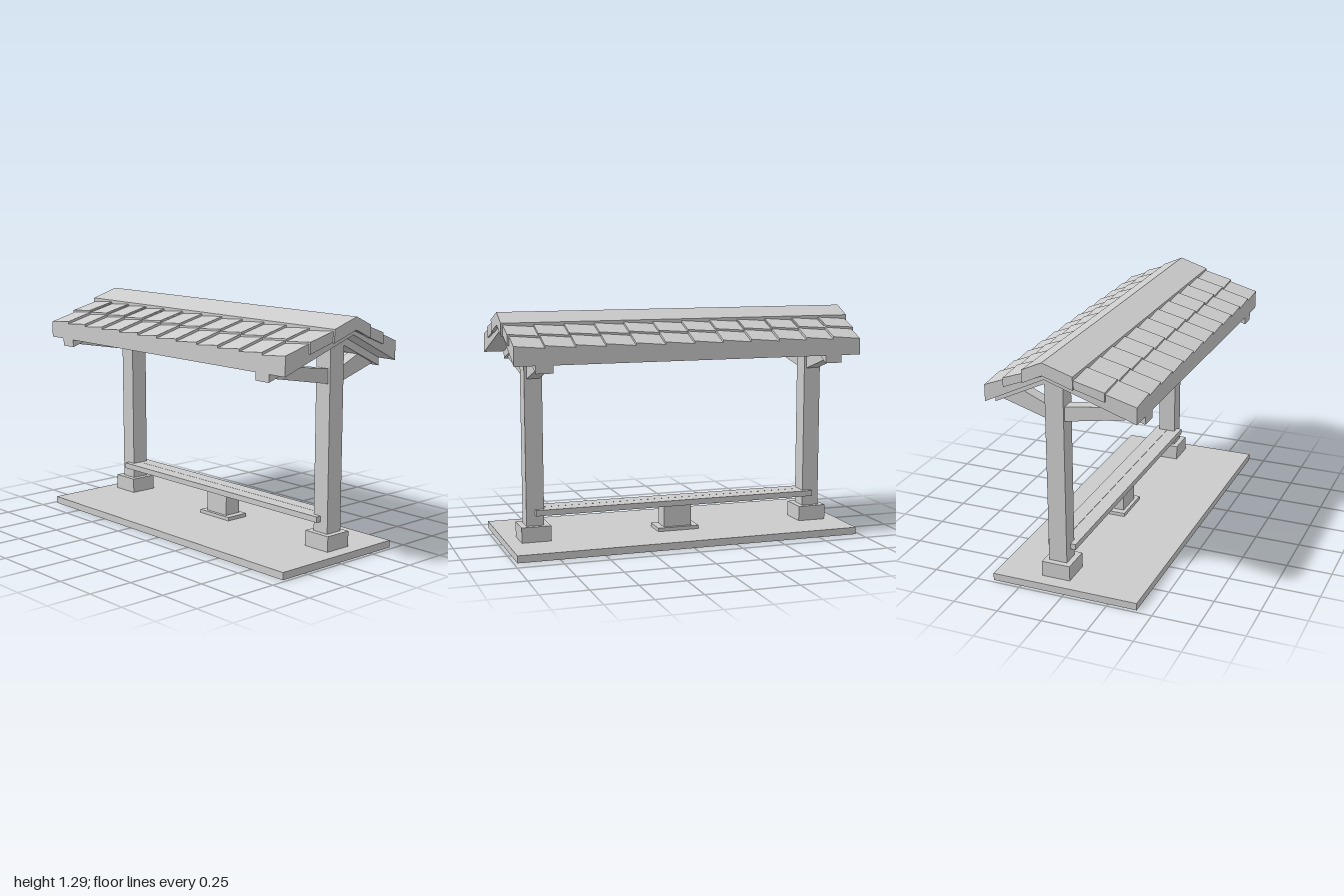
import * as THREE from 'three';

const RIDGE_Z = -0.08;
const EAVE_Z = { front: 0.41, back: -0.41 };

export function createModel() {
  const model = new THREE.Group();
  model.name = 'shelter';
  const material = new THREE.MeshStandardMaterial({ color: 0xcccccc, flatShading: true });

  function add(name, geometry, parent = model) {
    const mesh = new THREE.Mesh(geometry, material);
    mesh.name = name;
    parent.add(mesh);
    return mesh;
  }

  // Box given by its limits on each axis
  function box(name, [x0, x1], [y0, y1], [z0, z1], parent) {
    const g = new THREE.BoxGeometry(x1 - x0, y1 - y0, z1 - z0);
    g.translate((x0 + x1) / 2, (y0 + y1) / 2, (z0 + z1) / 2);
    return add(name, g, parent);
  }

  // Outline of [z, y] points extruded along x, centred on x
  function beam(name, points, x, width, parent) {
    const shape = new THREE.Shape(points.map(([z, y]) => new THREE.Vector2(z, y)));
    const g = new THREE.ExtrudeGeometry(shape, { depth: width, bevelEnabled: false });
    g.rotateY(-Math.PI / 2);
    g.translate(x + width / 2, 0, 0);
    return add(name, g, parent);
  }

  // Sloping roof piece from the ridge to zEnd; its +x edge can be raised by tilt
  function roofPiece(name, x0, x1, zEnd, course, parent) {
    const g = new THREE.BoxGeometry(1, 1, 1);
    const p = g.attributes.position;
    const zMin = Math.min(zEnd, RIDGE_Z), zMax = Math.max(zEnd, RIDGE_Z);
    for (let i = 0; i < p.count; i++) {
      const right = p.getX(i) > 0, top = p.getY(i) > 0;
      const z = p.getZ(i) > 0 ? zMax : zMin;
      const [ridgeY, endY] = top ? course.top : course.bottom;
      const y = (z === RIDGE_Z ? ridgeY : endY) - (top && !right ? course.tilt : 0);
      p.setXYZ(i, right ? x1 : x0, y, z);
    }
    g.computeVertexNormals();
    return add(name, g, parent);
  }

  // Ground slab
  box('baseSlab', [-0.98, 0.98], [0, 0.04], [-0.41, 0.41]);

  // Bench: two planks on a central support
  const bench = new THREE.Group();
  bench.name = 'bench';
  model.add(bench);
  box('frontPlank', [-0.82, 0.82], [0.183, 0.215], [-0.079, 0], bench);
  box('backPlank', [-0.82, 0.82], [0.183, 0.215], [-0.16, -0.081], bench);
  box('benchSupport', [-0.08, 0.08], [0.06, 0.183], [-0.13, -0.03], bench);
  box('benchSupportPlate', [-0.12, 0.12], [0.04, 0.06], [-0.15, -0.01], bench);

  // Post frames: footing, post, rafters and braces
  for (const side of [-1, 1]) {
    const frame = new THREE.Group();
    frame.name = side > 0 ? 'leftFrame' : 'rightFrame';
    model.add(frame);
    const x = side * 0.82;
    box('footing', [x - 0.082, x + 0.082], [0.04, 0.125], [-0.16, 0], frame);
    box('post', [x - 0.049, x + 0.049], [0.125, 1.15], [-0.132, -0.03], frame);
    beam('rafters', [
      [0.41, 0.988], [RIDGE_Z, 1.148], [-0.41, 0.988],
      [-0.41, 1.035], [RIDGE_Z, 1.198], [0.41, 1.035],
    ], x, 0.096, frame);
    beam('frontBrace', [[-0.04, 0.928], [0.38, 1.004], [0.24, 1.048], [-0.04, 1.008]], x, 0.07, frame);
    beam('backBrace', [[-0.12, 0.928], [-0.12, 1.006], [-0.26, 1.066], [-0.37, 1.004]], x, 0.07, frame);
  }

  // Roof courses; reach is the fraction of the slope covered, heights are [ridge, lower edge]
  const courses = [
    { name: 'lowerTile', reach: 1, half: 0.98, count: 12, tilt: 0.014, top: [1.265, 1.134], bottom: [1.193, 1.03] },
    { name: 'upperTile', reach: 2 / 3, half: 0.99, count: 12, tilt: 0.012, top: [1.267, 1.187], bottom: [1.215, 1.126] },
    { name: 'ridgeCap', reach: 1 / 3, half: 1, count: 1, tilt: 0, top: [1.288, 1.237], bottom: [1.22, 1.167] },
  ];
  for (const [slope, eaveZ] of Object.entries(EAVE_Z)) {
    const roof = new THREE.Group();
    roof.name = slope + 'Roof';
    model.add(roof);
    for (const course of courses) {
      const zEnd = RIDGE_Z + (eaveZ - RIDGE_Z) * course.reach;
      const width = (2 * course.half) / course.count;
      for (let i = 0; i < course.count; i++) {
        const x0 = -course.half + i * width;
        roofPiece(course.name, x0, x0 + width, zEnd, course, roof);
      }
    }
  }

  return model;
}
